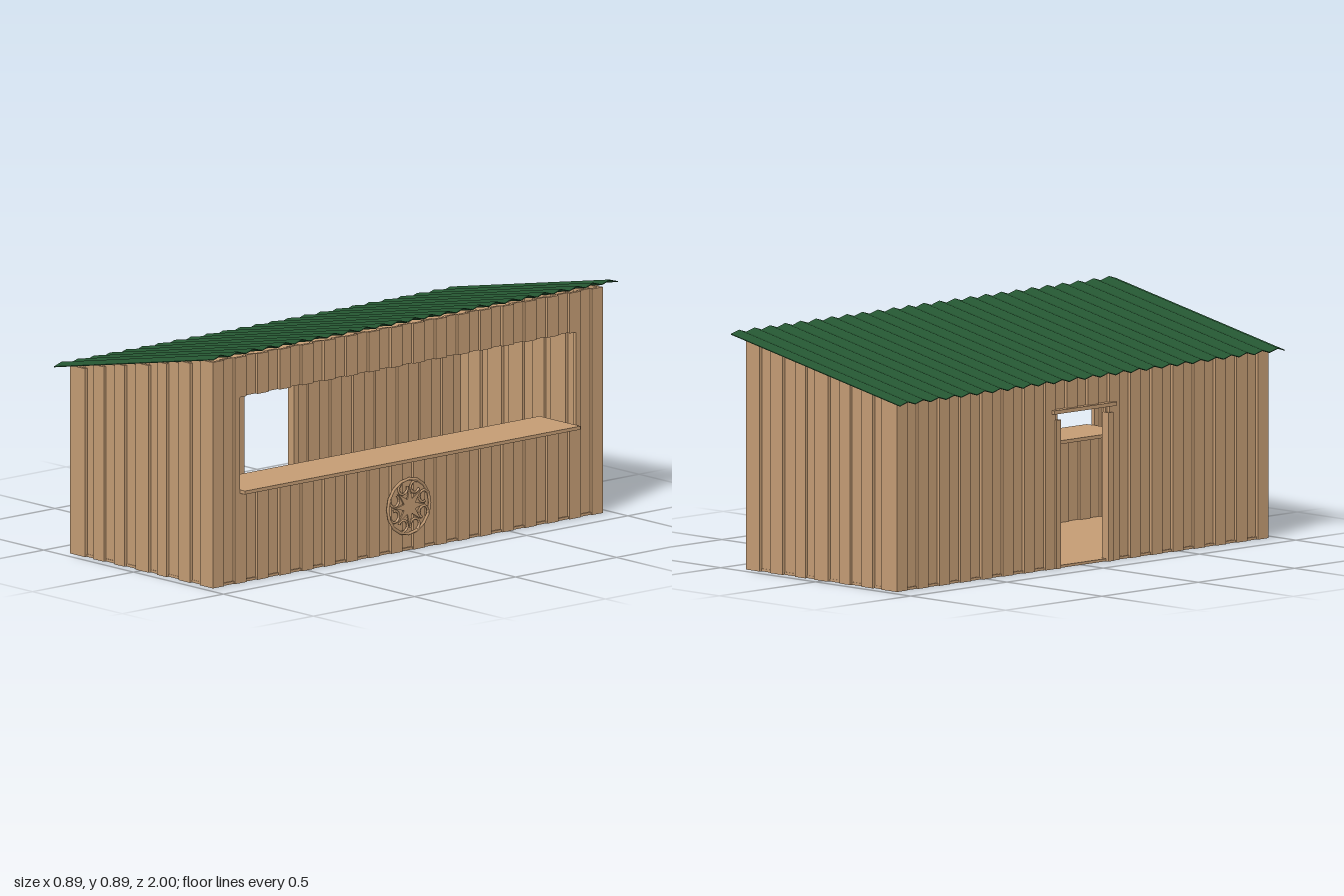
import * as THREE from 'three';

const mat = (name, color) => {
  const m = new THREE.MeshStandardMaterial({ color });
  m.name = name;
  return m;
};

export function createModel() {
  const wood = mat('wood', 0xc49c74);
  const green = mat('roofGreen', 0x245531);
  const hut = new THREE.Group();
  hut.name = 'marketHut';

  const group = (name, parent = hut) => {
    const g = new THREE.Group();
    g.name = name;
    parent.add(g);
    return g;
  };
  // box given by its limits on each axis
  const box = (parent, name, x0, x1, y0, y1, z0, z1) => {
    const m = new THREE.Mesh(new THREE.BoxGeometry(x1 - x0, y1 - y0, z1 - z0), wood);
    m.position.set((x0 + x1) / 2, (y0 + y1) / 2, (z0 + z1) / 2);
    m.name = name;
    parent.add(m);
    return m;
  };

  // floor
  box(hut, 'floor', -0.385, 0.395, 0.006, 0.016, -0.955, 0.955);

  // end walls: boards in two overlapping layers, stepped under the roof slope
  const xs = [-0.39, -0.31, -0.265, -0.205, -0.145, -0.09, -0.03, 0.045, 0.09, 0.145, 0.21, 0.275, 0.33, 0.4];
  for (const side of [1, -1]) {
    const wall = group(side > 0 ? 'frontEndWall' : 'backEndWall');
    for (let i = 0; i < xs.length - 1; i++) {
      const outer = i % 2 === 0;
      const top = 0.796 + 0.1966 * xs[i];
      const za = side * (outer ? 0.952 : 0.94), zb = side * (outer ? 0.965 : 0.953);
      const lap = outer ? 0 : 0.01;
      box(wall, 'endBoard', xs[i] - lap, Math.min(xs[i + 1] + lap, 0.4), 0.006, top,
        Math.min(za, zb), Math.max(za, zb));
    }
  }

  // long walls: alternating boards, left out where the opening is
  const longWall = (name, face, dir, top, open) => {
    const wall = group(name);
    const count = 35, step = 1.93 / count;
    const cuts = [open.z0, open.z1];
    for (let i = 0; i <= count; i++) cuts.push(-0.965 + i * step);
    cuts.sort((a, b) => a - b);
    for (let i = 0; i < cuts.length - 1; i++) {
      const z0 = cuts[i], z1 = cuts[i + 1], mid = (z0 + z1) / 2;
      if (z1 - z0 < 0.001) continue;
      const outer = Math.floor((mid + 0.965) / step) % 2 === 0;
      const a = face - dir * (outer ? 0 : 0.012), b = face - dir * (outer ? 0.014 : 0.024);
      const x0 = Math.min(a, b), x1 = Math.max(a, b);
      const inside = mid > open.z0 && mid < open.z1;
      if (!inside) box(wall, 'board', x0, x1, 0.006, top, z0, z1);
      else {
        if (open.y0 > 0.02) box(wall, 'lowerBoard', x0, x1, 0.006, open.y0, z0, z1);
        box(wall, 'upperBoard', x0, x1, open.y1, top, z0, z1);
      }
    }
  };
  longWall('servingWall', 0.402, 1, 0.862, { z0: -0.83, z1: 0.83, y0: 0.347, y1: 0.71 });
  longWall('doorWall', -0.392, -1, 0.718, { z0: -0.12, z1: 0.13, y0: 0, y1: 0.587 });

  // counter and the boards under the roof
  box(hut, 'counter', 0.2, 0.428, 0.346, 0.359, -0.83, 0.83);
  box(hut, 'headerShelf', 0.2, 0.385, 0.711, 0.722, -0.83, 0.83);
  box(hut, 'ceilingBoard', -0.13, 0.06, 0.711, 0.722, -0.94, 0.94);

  // door frame
  const frame = group('doorFrame');
  box(frame, 'doorPost', -0.398, -0.365, 0.006, 0.562, 0.128, 0.153);
  box(frame, 'doorPost', -0.398, -0.365, 0.006, 0.562, -0.143, -0.118);
  box(frame, 'lintel', -0.405, -0.365, 0.586, 0.6, -0.16, 0.165);

  // corrugated roof: zigzag section swept along the slope
  const ridges = 25, pitch = 2 / ridges;
  const zigzag = [];
  for (let i = 0; i <= ridges * 2; i++) zigzag.push([-1 + i * pitch / 2, i % 2 ? 0.012 : 0]);
  const section = new THREE.Shape([
    ...zigzag.map(([u, v]) => new THREE.Vector2(u, v - 0.003)),
    ...zigzag.reverse().map(([u, v]) => new THREE.Vector2(u, v)),
  ]);
  const slope = Math.atan2(0.175, 0.89), length = 0.907;
  const roofGeo = new THREE.ExtrudeGeometry(section, { depth: length, bevelEnabled: false });
  roofGeo.translate(0, -0.005, -length / 2);
  const c = Math.cos(slope), s = Math.sin(slope);
  roofGeo.applyMatrix4(new THREE.Matrix4().makeBasis(
    new THREE.Vector3(0, 0, -1), new THREE.Vector3(-s, c, 0), new THREE.Vector3(c, s, 0)));
  roofGeo.translate(0, 0.803, 0);
  const roof = new THREE.Mesh(roofGeo, green);
  roof.name = 'corrugatedRoof';
  hut.add(roof);

  // carved rosette under the counter: rim, star and curls
  const rosette = group('rosette');
  rosette.position.set(0.406, 0.175, 0);
  rosette.rotation.y = Math.PI / 2;
  const add = (name, geo) => {
    const m = new THREE.Mesh(geo, wood);
    m.name = name;
    rosette.add(m);
    return m;
  };
  add('rim', new THREE.TorusGeometry(0.104, 0.006, 6, 16));
  const star = new THREE.Shape();
  for (let i = 0; i < 16; i++) {
    const a = i * Math.PI / 8, r = i % 2 ? 0.03 : 0.075;
    star[i ? 'lineTo' : 'moveTo'](r * Math.cos(a), r * Math.sin(a));
  }
  add('star', new THREE.ExtrudeGeometry(star, { depth: 0.006, bevelEnabled: false }));
  for (let i = 0; i < 8; i++) {
    const a = (i + 0.5) * Math.PI / 4;
    const curl = add('curl', new THREE.TorusGeometry(0.022, 0.005, 5, 12, Math.PI * 1.5));
    curl.position.set(0.077 * Math.cos(a), 0.077 * Math.sin(a), 0.001);
    curl.rotation.z = a;
  }

  return hut;
}
